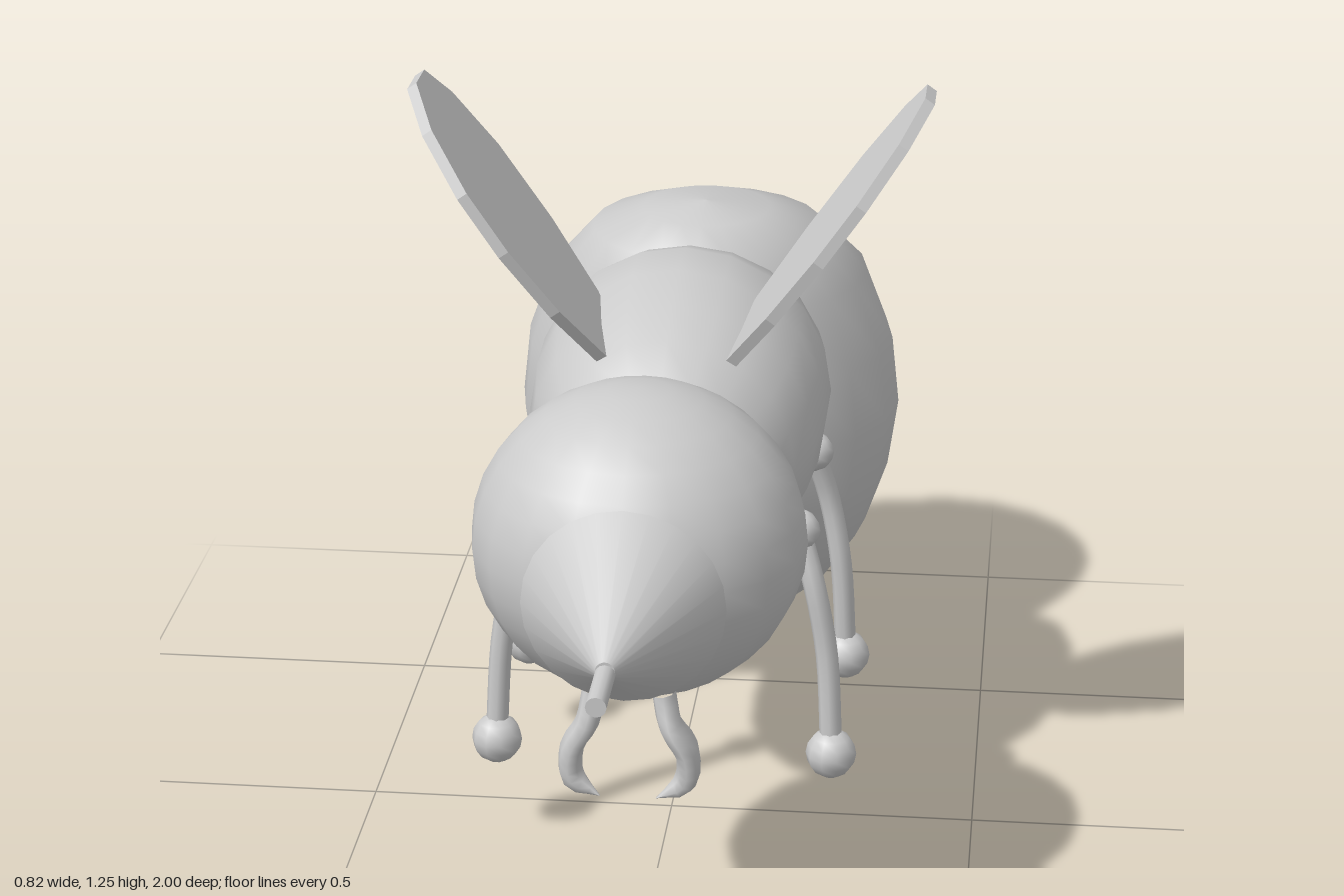
import * as THREE from 'three';

const V = (x, y, z) => new THREE.Vector3(x, y, z);
const X = V(1, 0, 0), Y = V(0, 1, 0), Z = V(0, 0, 1);

// Smooth skin over elliptical rings {c: centre, a, b: axes, ra, rb: radii}; the rings advance along a x b.
function loft(rings, n) {
  const pos = [], idx = [];
  rings.forEach(({ c, a, b, ra, rb }, i) => {
    for (let j = 0; j < n; j++) {
      const t = (j / n) * Math.PI * 2;
      const p = c.clone().addScaledVector(a, ra * Math.cos(t)).addScaledVector(b, rb * Math.sin(t));
      pos.push(p.x, p.y, p.z);
      if (i === rings.length - 1) continue;
      const k = (j + 1) % n, p0 = i * n, p1 = p0 + n;
      idx.push(p0 + j, p0 + k, p1 + j, p0 + k, p1 + k, p1 + j);
    }
  });
  const g = new THREE.BufferGeometry();
  g.setAttribute('position', new THREE.Float32BufferAttribute(pos, 3));
  g.setIndex(idx);
  g.computeVertexNormals();
  return g;
}

export function createModel() {
  const model = new THREE.Group();
  const grey = new THREE.MeshStandardMaterial({ color: 0xcccccc });
  const add = (name, geometry, parent = model) => {
    const m = new THREE.Mesh(geometry, grey);
    m.name = name;
    parent.add(m);
    return m;
  };

  // Abdomen: teardrop drooping to a point; rows are y, front z, back z, half width
  const abdomen = [
    [0, -0.815, -0.825, 0.005], [0.02, -0.7, -0.828, 0.055], [0.07, -0.57, -0.853, 0.13],
    [0.15, -0.48, -0.89, 0.215], [0.25, -0.405, -0.94, 0.28], [0.36, -0.362, -0.982, 0.318],
    [0.48, -0.345, -1, 0.335], [0.6, -0.352, -0.99, 0.322], [0.73, -0.375, -0.93, 0.275],
    [0.82, -0.405, -0.82, 0.2], [0.86, -0.475, -0.7, 0.11], [0.873, -0.58, -0.58, 0],
  ];
  add('abdomen', loft(abdomen.map(([y, f, k, w]) =>
    ({ c: V(0, y, (f + k) / 2), a: Z, b: X, ra: (f - k) / 2, rb: w })), 20));

  // Thorax: rows are z, bottom y, top y, half width
  const thorax = [
    [-0.42, 0.66, 0.66, 0], [-0.4, 0.56, 0.77, 0.13], [-0.37, 0.52, 0.82, 0.18], [-0.3, 0.475, 0.885, 0.226],
    [-0.2, 0.438, 0.915, 0.243], [-0.1, 0.423, 0.911, 0.242], [0, 0.423, 0.885, 0.23],
    [0.08, 0.435, 0.855, 0.205], [0.15, 0.468, 0.812, 0.16], [0.195, 0.515, 0.76, 0.105],
    [0.215, 0.58, 0.7, 0.05], [0.22, 0.645, 0.645, 0],
  ];
  add('thorax', loft(thorax.map(([z, lo, hi, w]) =>
    ({ c: V(0, (lo + hi) / 2, z), a: X, b: Y, ra: w, rb: (hi - lo) / 2 })), 20));

  // Head, snout cone and feeding tube
  const head = add('head', new THREE.SphereGeometry(1, 20, 16));
  head.scale.set(0.252, 0.238, 0.248);
  head.position.set(0, 0.688, 0.465);
  const snout = add('snout', new THREE.CylinderGeometry(0.014, 0.15, 0.22, 24));
  snout.rotation.x = Math.PI / 2;
  snout.position.set(0, 0.667, 0.785);
  const feeder = add('feedingTube', new THREE.CylinderGeometry(0.015, 0.015, 0.14, 12));
  feeder.rotation.x = Math.PI / 2;
  feeder.position.set(0, 0.662, 0.93);

  // Wing outline: z across, y up, before tilting outward
  const outline = [
    [0.05, 0.79], [0.08, 0.82], [0.14, 0.915], [0.17, 1.02], [0.163, 1.11], [0.115, 1.195], [0.035, 1.245],
    [-0.04, 1.245], [-0.09, 1.195], [-0.125, 1.1], [-0.122, 0.98], [-0.09, 0.87], [-0.03, 0.81],
  ];
  const wingShape = new THREE.Shape(outline.map(([z, y]) => new THREE.Vector2(z, (y - 0.82) / 0.816)));

  for (const s of [1, -1]) {
    const side = s > 0 ? 'left' : 'right';

    // Wing: thin plate leaning outward
    const up = V(s * 0.578, 0.816, 0), normal = Z.clone().cross(up);
    const wing = new THREE.ExtrudeGeometry(wingShape, { depth: 0.018, bevelEnabled: false });
    wing.translate(0, 0, -0.009);
    wing.applyMatrix4(new THREE.Matrix4().makeBasis(Z, up, normal).setPosition(s * 0.1, 0.82, 0));
    add(side + 'Wing', wing);

    // Legs: bent rod with a hip joint and a ball foot; the hind pair mirrors the front pair
    for (const f of [1, -1]) {
      const leg = new THREE.Group();
      leg.name = side + (f > 0 ? 'FrontLeg' : 'HindLeg');
      model.add(leg);
      const at = (x, y, dz) => V(s * x, y, -0.06 + f * dz);
      const path = new THREE.CatmullRomCurve3([
        at(0.215, 0.555, 0.165), at(0.24, 0.47, 0.182), at(0.262, 0.35, 0.183), at(0.272, 0.19, 0.19)]);
      add('limb', new THREE.TubeGeometry(path, 12, 0.018, 8), leg);
      add('hip', new THREE.SphereGeometry(0.033, 10, 8), leg).position.copy(at(0.215, 0.556, 0.167));
      add('foot', new THREE.SphereGeometry(0.041, 10, 8), leg).position.copy(at(0.272, 0.177, 0.19));
    }

    // Mandible: flattened hook curling inward to a tip
    const hook = new THREE.CatmullRomCurve3([
      V(s * 0.052, 0.5, 0.605), V(s * 0.062, 0.45, 0.61), V(s * 0.086, 0.405, 0.603),
      V(s * 0.084, 0.36, 0.61), V(s * 0.042, 0.338, 0.63)]);
    const rings = [];
    for (let i = 0; i <= 12; i++) {
      const t = i / 12, swell = t > 0.8 ? Math.max(0, (1 - t) / 0.2) : 1;
      const b = hook.getTangent(t).cross(Z).normalize();
      const wide = 0.02 + 0.02 * Math.sin(Math.PI * t) ** 2;
      rings.push({ c: hook.getPoint(t), a: Z, b, ra: wide * (0.1 + 0.9 * swell), rb: 0.018 * swell });
    }
    add(side + 'Mandible', loft(rings, 8));
  }
  return model;
}
